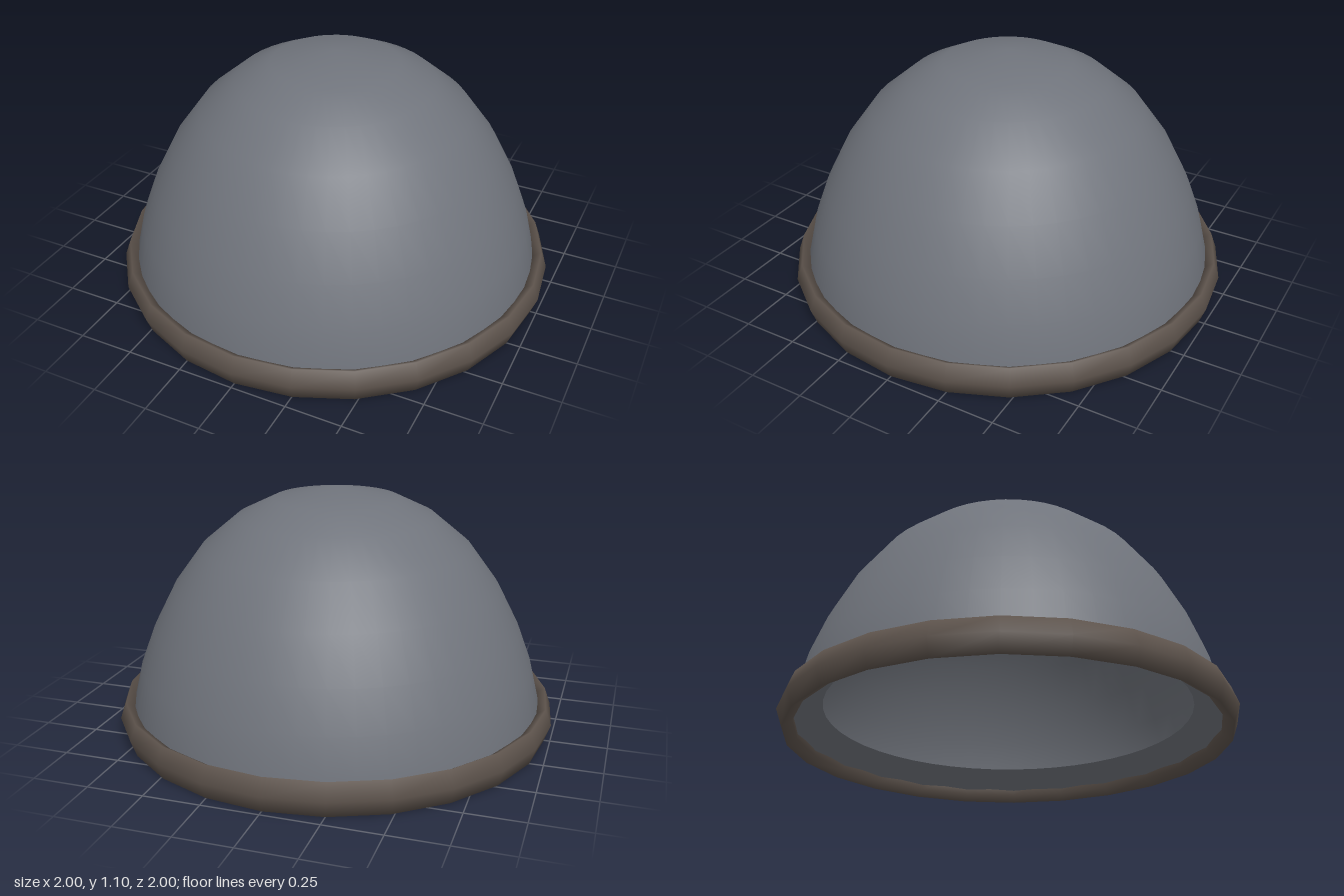
import * as THREE from 'three';

export function createModel() {
  const group = new THREE.Group();
  const steel = new THREE.MeshStandardMaterial({ color: 0x70747c, side: THREE.DoubleSide });
  steel.name = 'blue grey steel';
  const leather = new THREE.MeshStandardMaterial({ color: 0x5c524b });
  leather.name = 'brown rim';

  function addLathe(name, points) {
    const profile = points.map(([r, y]) => new THREE.Vector2(r, y));
    const geometry = new THREE.LatheGeometry(profile, 48);
    const mesh = new THREE.Mesh(geometry, steel);
    mesh.name = name;
    group.add(mesh);
    return geometry;
  }

  // Thin open shell, from the bottom edge up to the crown
  const shell = addLathe('domeShell', [
    [0.94, 0.05], [0.93, 0.15], [0.894, 0.299], [0.829, 0.471], [0.733, 0.658],
    [0.604, 0.834], [0.444, 0.968], [0.284, 1.046], [0, 1.1],
  ]);

  // Round off the shading at the crown
  const { position, normal } = shell.attributes;
  for (let i = 0; i < position.count; i++) {
    if (position.getY(i) > 1.09) normal.setXYZ(i, 0, 1, 0);
  }

  // Sloping lip turned inwards from the bottom edge
  addLathe('innerLip', [[0.81, 0.13], [0.94, 0.045]]);

  // Five-sided rim band, its top edge standing clear of the shell
  const rimGeometry = new THREE.TorusGeometry(0.961, 0.039, 5, 24);
  rimGeometry.scale(1, 1, 2.02).rotateX(Math.PI / 2).translate(0, 0.075, 0);
  const rim = new THREE.Mesh(rimGeometry, leather);
  rim.name = 'rimBand';
  group.add(rim);

  return group;
}
